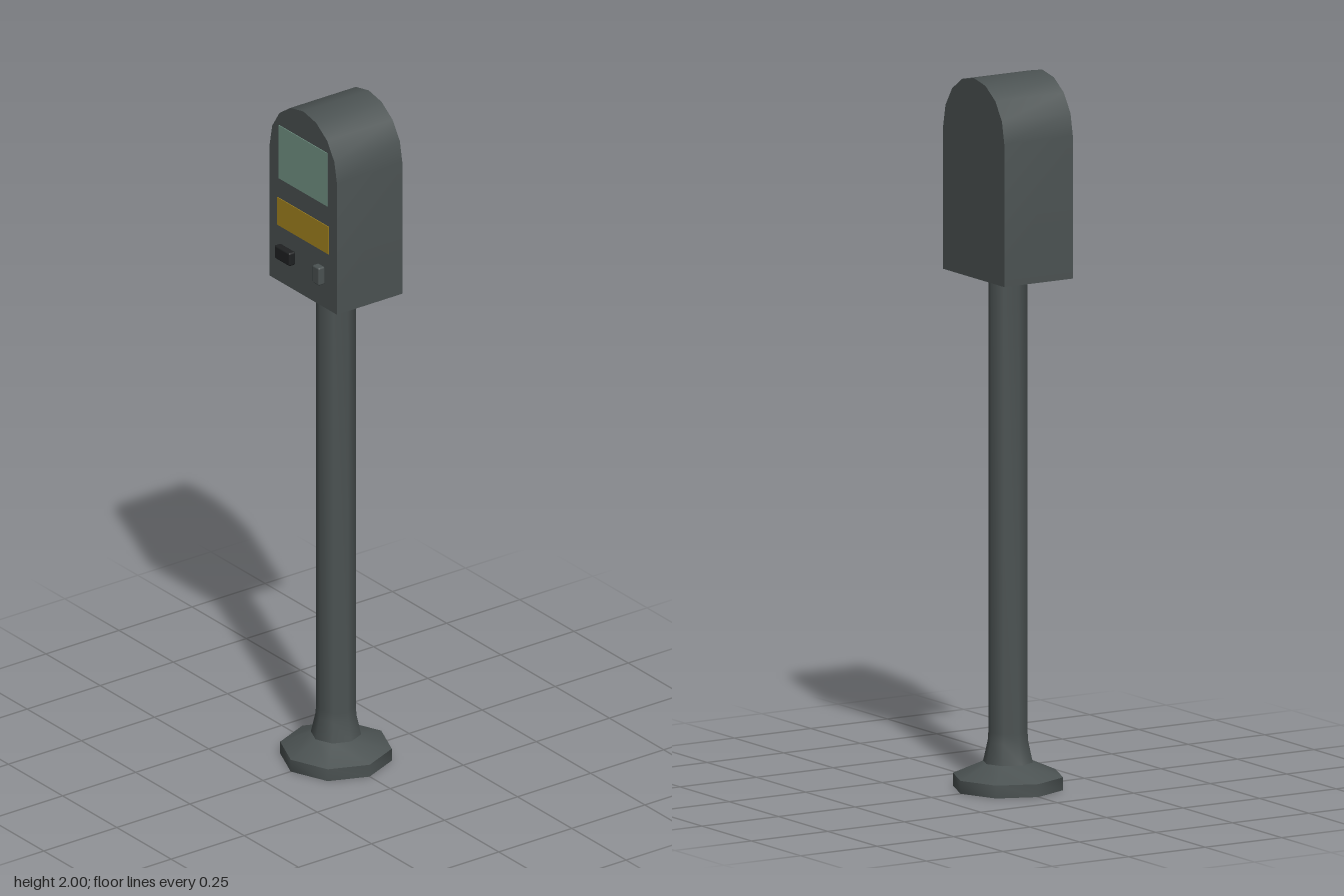
import * as THREE from 'three';
import { toCreasedNormals } from 'three/addons/utils/BufferGeometryUtils.js';
import { RoundedBoxGeometry } from 'three/addons/geometries/RoundedBoxGeometry.js';

const paint = (name, color) => {
  const m = new THREE.MeshStandardMaterial({ color });
  m.name = name;
  return m;
};

export function createModel() {
  const body = paint('dark grey metal', 0x4b5252);
  const glass = paint('green glass', 0x749687);
  const amber = paint('amber label', 0xa48520);
  const black = paint('black plastic', 0x1f2122);
  const group = new THREE.Group();

  const add = (name, geometry, material, x = 0, y = 0, z = 0) => {
    const mesh = new THREE.Mesh(geometry, material);
    mesh.name = name;
    mesh.position.set(x, y, z);
    group.add(mesh);
    return mesh;
  };

  // Eight-sided foot flange and post in one turned profile
  const profile = [
    [0, 0], [0.155, 0], [0.155, 0.036], [0.07, 0.074],
    [0.057, 0.132], [0.055, 0.16], [0.055, 1.445],
  ].map(([r, y]) => new THREE.Vector2(r, y));
  add('post', toCreasedNormals(new THREE.LatheGeometry(profile, 8), 0.9), body);

  // Head: a box with an arched top, extruded front to back
  const halfWidth = 0.155, bottom = 1.44, spring = 1.84, depth = 0.224;
  const outline = new THREE.Shape();
  outline.moveTo(-halfWidth, bottom);
  outline.lineTo(halfWidth, bottom);
  const steps = 8;
  for (let i = 0; i <= steps; i++) {
    const a = (i / steps) * Math.PI;
    outline.lineTo(halfWidth * Math.cos(a), spring + (2 - spring) * Math.sin(a));
  }
  outline.closePath();
  const head = new THREE.ExtrudeGeometry(outline, { depth, bevelEnabled: false });
  add('head', toCreasedNormals(head, 0.6), body, 0, 0, -depth / 2);

  // Thin display window and label plate on the front
  const front = depth / 2;
  add('displayWindow', new THREE.BoxGeometry(0.224, 0.162, 0.004), glass, 0, 1.835, front);
  add('labelPlate', new THREE.BoxGeometry(0.238, 0.084, 0.004), amber, 0, 1.652, front);

  // Raised card slot and button
  add('cardSlot', new RoundedBoxGeometry(0.07, 0.04, 0.022, 2, 0.005), black, -0.071, 1.538, 0.122);
  add('button', new RoundedBoxGeometry(0.031, 0.054, 0.022, 2, 0.005), body, 0.084, 1.538, 0.122);

  return group;
}
